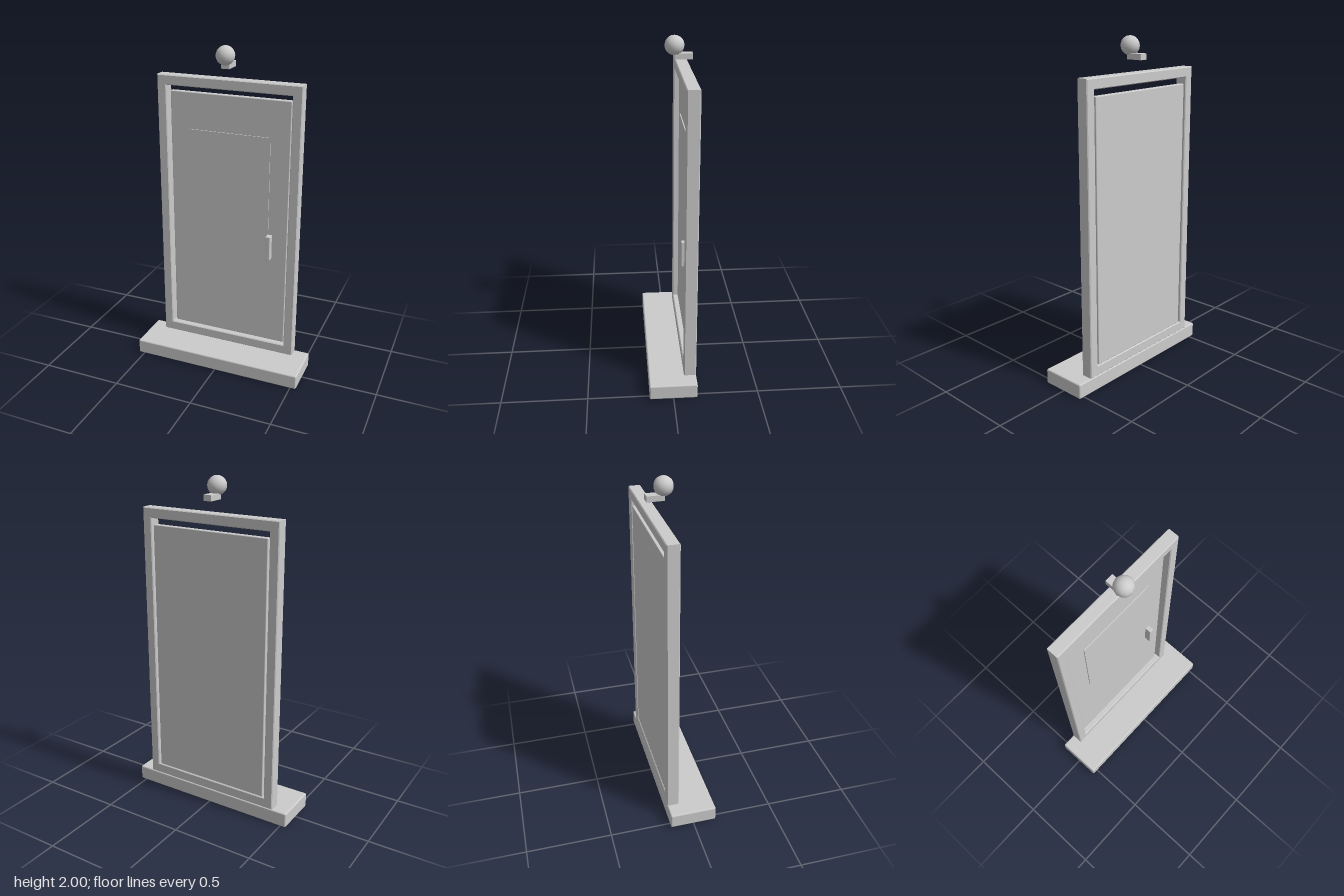
import * as THREE from 'three';
import { RoundedBoxGeometry } from 'three/addons/geometries/RoundedBoxGeometry.js';

export function createModel() {
  const model = new THREE.Group();
  model.name = 'doorway';
  const grey = new THREE.MeshStandardMaterial({ color: 0xcccccc });
  grey.name = 'light grey';

  function add(name, geometry) {
    const mesh = new THREE.Mesh(geometry, grey);
    mesh.name = name;
    model.add(mesh);
    return mesh;
  }

  // Soft-edged block given by its minimum and maximum on each axis
  function block(name, [x0, x1], [y0, y1], [z0, z1], bevel) {
    const size = [x1 - x0, y1 - y0, z1 - z0];
    const geometry = bevel
      ? new RoundedBoxGeometry(...size, 2, bevel)
      : new THREE.BoxGeometry(...size);
    add(name, geometry).position.set((x0 + x1) / 2, (y0 + y1) / 2, (z0 + z1) / 2);
  }

  function rectangle(target, halfWidth, bottom, top) {
    target.moveTo(-halfWidth, bottom);
    target.lineTo(halfWidth, bottom);
    target.lineTo(halfWidth, top);
    target.lineTo(-halfWidth, top);
    target.closePath();
    return target;
  }

  // Doorstep
  block('doorstep', [-0.537, 0.537], [0, 0.092], [-0.14, 0.14], 0.009);

  // Frame: one bevelled outline with the doorway cut out
  const outline = rectangle(new THREE.Shape(), 0.443, 0.092, 1.805);
  outline.holes.push(rectangle(new THREE.Path(), 0.386, 0.155, 1.745));
  const bevel = 0.005;
  const frame = new THREE.ExtrudeGeometry(outline, {
    depth: 0.073 - 2 * bevel,
    bevelEnabled: true,
    bevelSize: bevel,
    bevelThickness: bevel,
    bevelOffset: -bevel,
    bevelSegments: 1,
  });
  add('doorFrame', frame).position.z = -0.14 + bevel;

  // Door leaf, its raised panel and the pull handle
  block('door', [-0.374, 0.374], [0.155, 1.708], [-0.135, -0.1], 0.005);
  block('doorPanel', [-0.255, 0.255], [0.92, 1.487], [-0.103, -0.094], 0);
  block('doorHandle', [0.25, 0.28], [0.73, 0.885], [-0.102, -0.06], 0.004);

  // Globe lamp on a small bracket above the frame
  block('lampBracket', [-0.025, 0.025], [1.87, 1.905], [-0.14, -0.038], 0.002);
  add('lampGlobe', new THREE.SphereGeometry(0.055, 12, 10)).position.set(0, 1.945, -0.04);

  return model;
}
